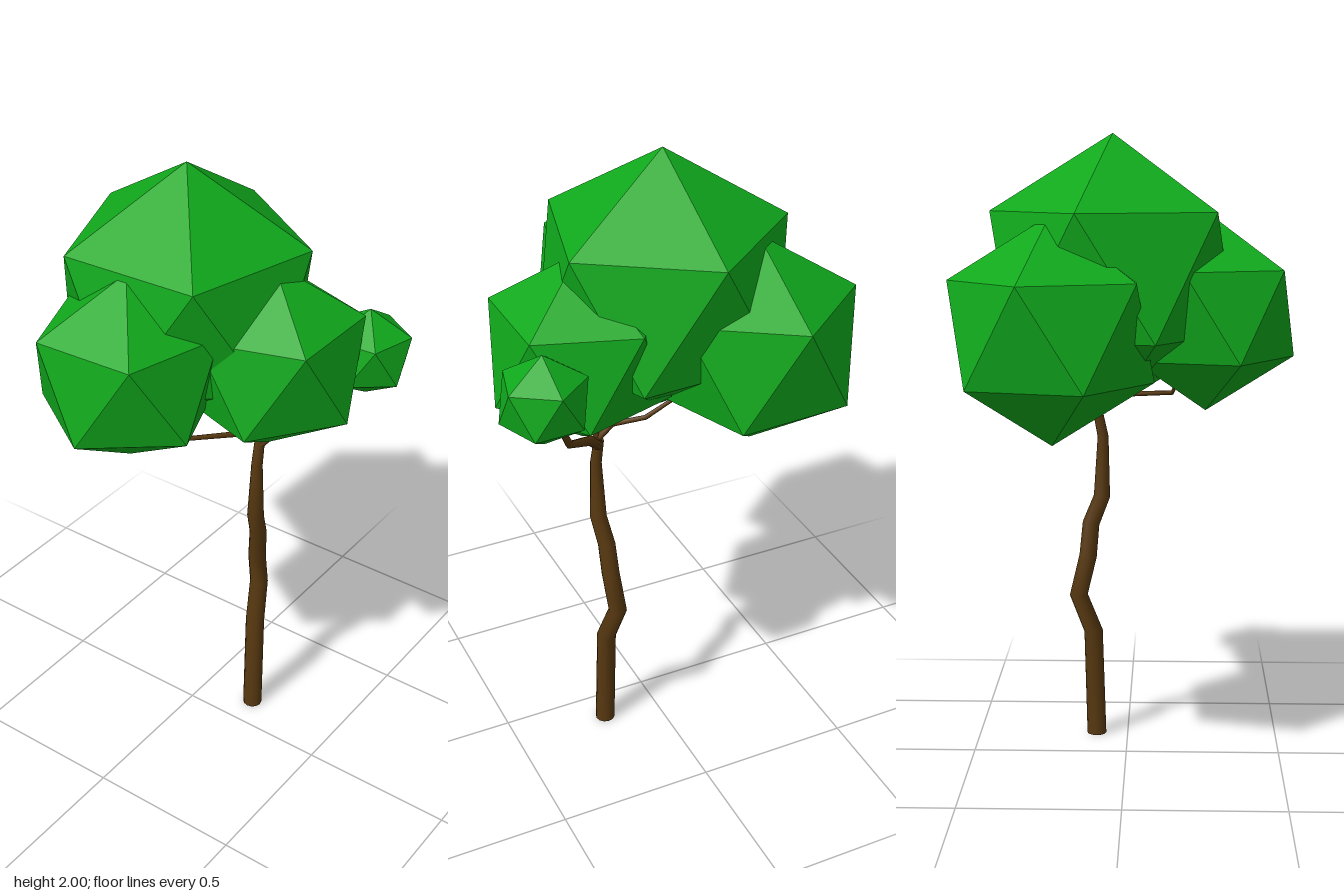
import * as THREE from 'three';

const bark = new THREE.MeshStandardMaterial({ color: 0x573810, side: THREE.DoubleSide });
const leaf = new THREE.MeshStandardMaterial({ color: 0x10a81c, flatShading: true });

// Tapered limb swept through points given as [x, y, z, radius]
function limb(name, points, sides = 12) {
  const centres = points.map(p => new THREE.Vector3(p[0], p[1], p[2]));
  const ref = new THREE.Vector3(0.5, 0, 0.87);
  const pos = [], index = [];
  centres.forEach((c, i) => {
    const before = centres[Math.max(i - 1, 0)];
    const after = centres[Math.min(i + 1, centres.length - 1)];
    const t = i === 0 && c.y === 0 ? new THREE.Vector3(0, 1, 0) : after.clone().sub(before).normalize();
    const u = new THREE.Vector3().crossVectors(t, ref).normalize();
    const v = new THREE.Vector3().crossVectors(t, u);
    for (let k = 0; k < sides; k++) {
      const a = (k / sides) * Math.PI * 2, r = points[i][3];
      const p = c.clone().addScaledVector(u, r * Math.cos(a)).addScaledVector(v, r * Math.sin(a));
      pos.push(p.x, p.y, p.z);
      if (i > 0) {
        const k2 = (k + 1) % sides, lo = (i - 1) * sides, hi = i * sides;
        index.push(lo + k, lo + k2, hi + k, lo + k2, hi + k2, hi + k);
      }
    }
  });
  const geo = new THREE.BufferGeometry();
  geo.setAttribute('position', new THREE.Float32BufferAttribute(pos, 3));
  geo.setIndex(index);
  geo.computeVertexNormals();
  const mesh = new THREE.Mesh(geo, bark);
  mesh.name = name;
  return mesh;
}

// Icosahedral leaf clump standing on one corner, turned about y
function clump(name, x, y, z, radius, turn = -33) {
  const geo = new THREE.IcosahedronGeometry(radius, 0);
  geo.rotateX(-Math.atan((1 + Math.sqrt(5)) / 2));
  geo.rotateY(THREE.MathUtils.degToRad(turn));
  const mesh = new THREE.Mesh(geo, leaf);
  mesh.name = name;
  mesh.position.set(x, y, z);
  return mesh;
}

export function createModel() {
  const tree = new THREE.Group();
  tree.name = 'tree';

  // Crooked trunk with a closed base
  tree.add(limb('trunk', [
    [0.185, 0, -0.105, 0.032], [0.18, 0.36, -0.115, 0.031], [0.16, 0.49, -0.163, 0.03],
    [0.17, 0.62, -0.132, 0.029], [0.178, 0.73, -0.122, 0.028], [0.19, 0.82, -0.086, 0.027],
    [0.193, 1.02, -0.082, 0.018], [0.19, 1.11, -0.1, 0.016],
  ]));
  const base = new THREE.Mesh(new THREE.CircleGeometry(0.032, 12).rotateX(Math.PI / 2), bark);
  base.name = 'trunkBase';
  base.position.set(0.185, 0, -0.105);
  tree.add(base);

  // Branches reaching into the clumps
  tree.add(limb('backBranch', [
    [0.19, 1.09, -0.095, 0.017], [0.25, 1.165, -0.175, 0.016],
    [0.36, 1.24, -0.28, 0.012], [0.43, 1.4, -0.295, 0.006],
  ], 8));
  tree.add(limb('frontBranch', [
    [0.19, 1.12, -0.1, 0.012], [0.17, 1.165, -0.01, 0.009],
    [0.06, 1.185, 0.146, 0.007], [0.02, 1.24, 0.17, 0.006], [-0.02, 1.35, 0.2, 0.004],
  ], 8));
  tree.add(limb('rightBranch', [
    [0.19, 1.12, -0.1, 0.012], [0.15, 1.165, -0.115, 0.009],
    [0.06, 1.19, -0.16, 0.008], [-0.02, 1.26, -0.2, 0.006], [-0.12, 1.33, -0.21, 0.004],
  ], 8));
  tree.add(limb('leftBranch', [
    [0.19, 1.09, -0.1, 0.012], [0.205, 1.17, -0.095, 0.009], [0.23, 1.3, -0.08, 0.005],
  ], 8));

  // Foliage
  tree.add(
    clump('topFoliage', -0.05, 1.575, -0.04, 0.425),
    clump('frontFoliage', -0.05, 1.453, 0.25, 0.308),
    clump('rightFoliage', -0.273, 1.412, -0.217, 0.346),
    clump('leftFoliage', 0.235, 1.433, -0.08, 0.309, -18),
    clump('smallFoliage', 0.443, 1.42, -0.297, 0.145),
  );
  return tree;
}
